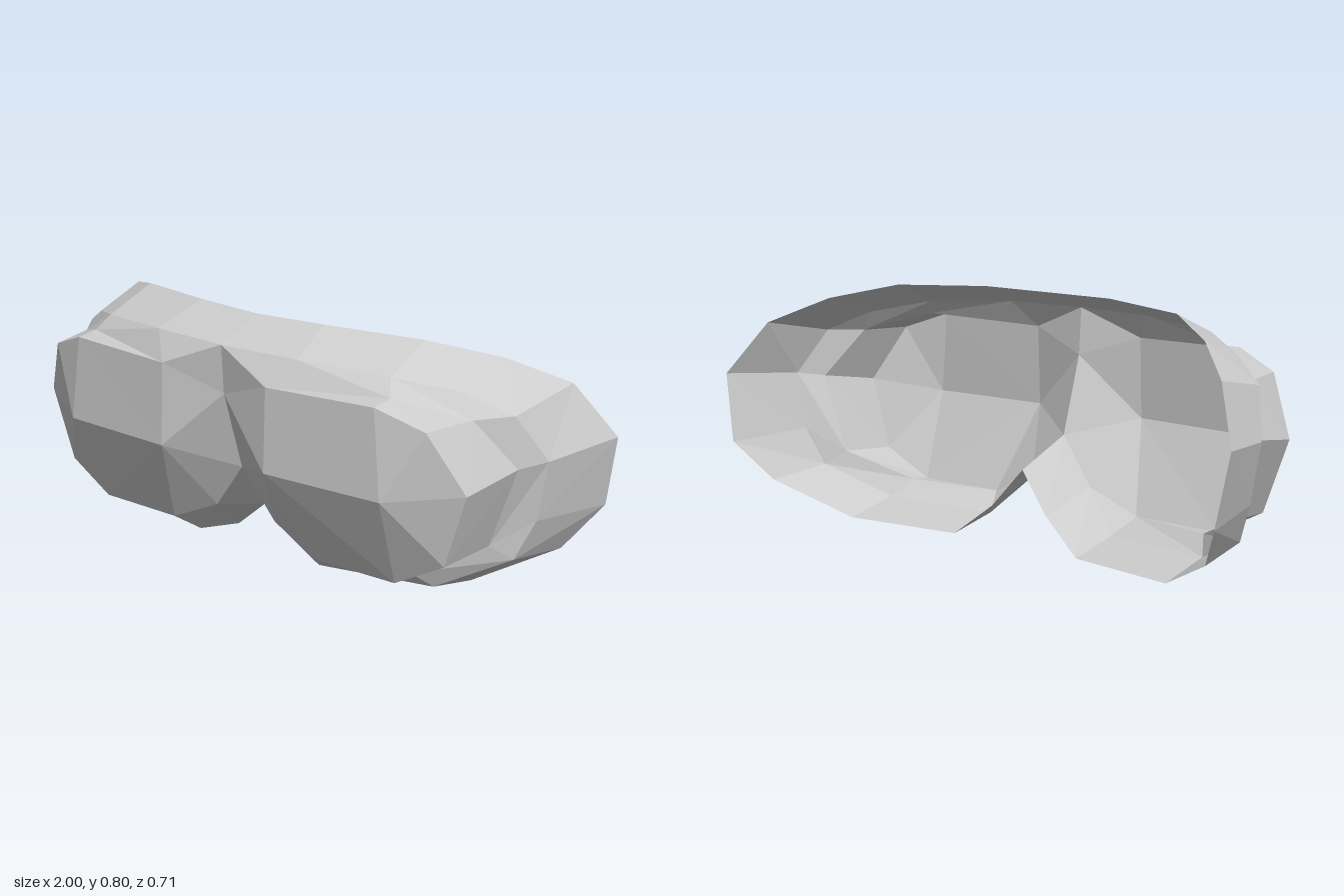
import * as THREE from 'three';

// Cross-sections of the left half, each running from top centre, round the outside, to the nose.
const rearRim = [
  [0, .795, .14], [.25, .798, .12], [.56, .787, .035], [.75, .74, -.1], [.9, .66, -.24], [1, .49, -.34],
  [.96, .265, -.355], [.87, .13, -.26], [.64, .007, -.12], [.25, 0, -.045], [.11, .11, -.02], [0, .24, 0],
];
const frontRim = [
  [0, .73, .305], [.28, .73, .285], [.57, .713, .21], [.74, .675, .09], [.868, .61, .01], [.932, .465, -.075],
  [.898, .275, -.075], [.845, .15, -.04], [.64, .046, .075], [.25, .035, .14], [.12, .165, .2], [0, .32, .215],
];
const lensBase = [
  [0, .575, .295], [.21, .645, .345], [.6, .665, .25], [.79, .605, .11], [.79, .605, .11], [.88, .45, .005],
  [.79, .195, .01], [.79, .195, .01], [.6, .1, .14], [.29, .09, .22], [.12, .165, .2], [0, .32, .215],
];
const lensEdge = [
  [0, .575, .295], [.21, .645, .345], [.6, .655, .325], [.75, .6, .28], [.75, .6, .28], [.85, .415, .215],
  [.77, .18, .205], [.77, .18, .205], [.6, .09, .215], [.29, .09, .22], [.12, .165, .2], [0, .32, .215],
];
const lensOuter = [.63, .38, .335];
const lensInner = [.21, .38, .355];

const same = (a, b) => a.every((v, i) => v === b[i]);

// Skin between two cross-sections, without collapsed triangles.
function band(back, front) {
  const tris = [];
  for (let i = 0; i < back.length - 1; i++) {
    tris.push([back[i], front[i], front[i + 1]], [back[i], front[i + 1], back[i + 1]]);
  }
  return tris.filter(([a, b, c]) => !same(a, b) && !same(b, c) && !same(a, c));
}

// Domed lens: fans around two crown points joined by flat panels.
function lensFaces() {
  const e = lensEdge, tris = [];
  for (const [i, j] of [[2, 3], [3, 5], [5, 7], [7, 8]]) tris.push([lensOuter, e[j], e[i]]);
  for (const [i, j] of [[0, 1], [9, 10], [10, 11], [11, 0]]) tris.push([lensInner, e[j], e[i]]);
  tris.push([lensInner, lensOuter, e[2]], [lensInner, e[2], e[1]]);
  tris.push([lensInner, e[9], e[8]], [lensInner, e[8], lensOuter]);
  return tris;
}

function facetGeometry(tris, side) {
  const points = [];
  for (const [a, b, c] of tris) {
    for (const p of side > 0 ? [a, b, c] : [a, c, b]) points.push(p[0] * side, p[1], p[2]);
  }
  const geometry = new THREE.BufferGeometry();
  geometry.setAttribute('position', new THREE.Float32BufferAttribute(points, 3));
  geometry.computeVertexNormals();
  return geometry;
}

export function createModel() {
  const group = new THREE.Group();
  group.name = 'goggles';
  const grey = new THREE.MeshStandardMaterial({ color: 0xcccccc, flatShading: true, side: THREE.DoubleSide });
  grey.name = 'grey';

  const parts = {
    FaceSkirt: band(rearRim, frontRim),
    Frame: band(frontRim, lensBase),
    LensWall: band(lensBase, lensEdge),
    Lens: lensFaces(),
  };
  for (const [name, tris] of Object.entries(parts)) {
    for (const side of [1, -1]) {
      const mesh = new THREE.Mesh(facetGeometry(tris, side), grey);
      mesh.name = (side > 0 ? 'left' : 'right') + name;
      group.add(mesh);
    }
  }
  return group;
}
